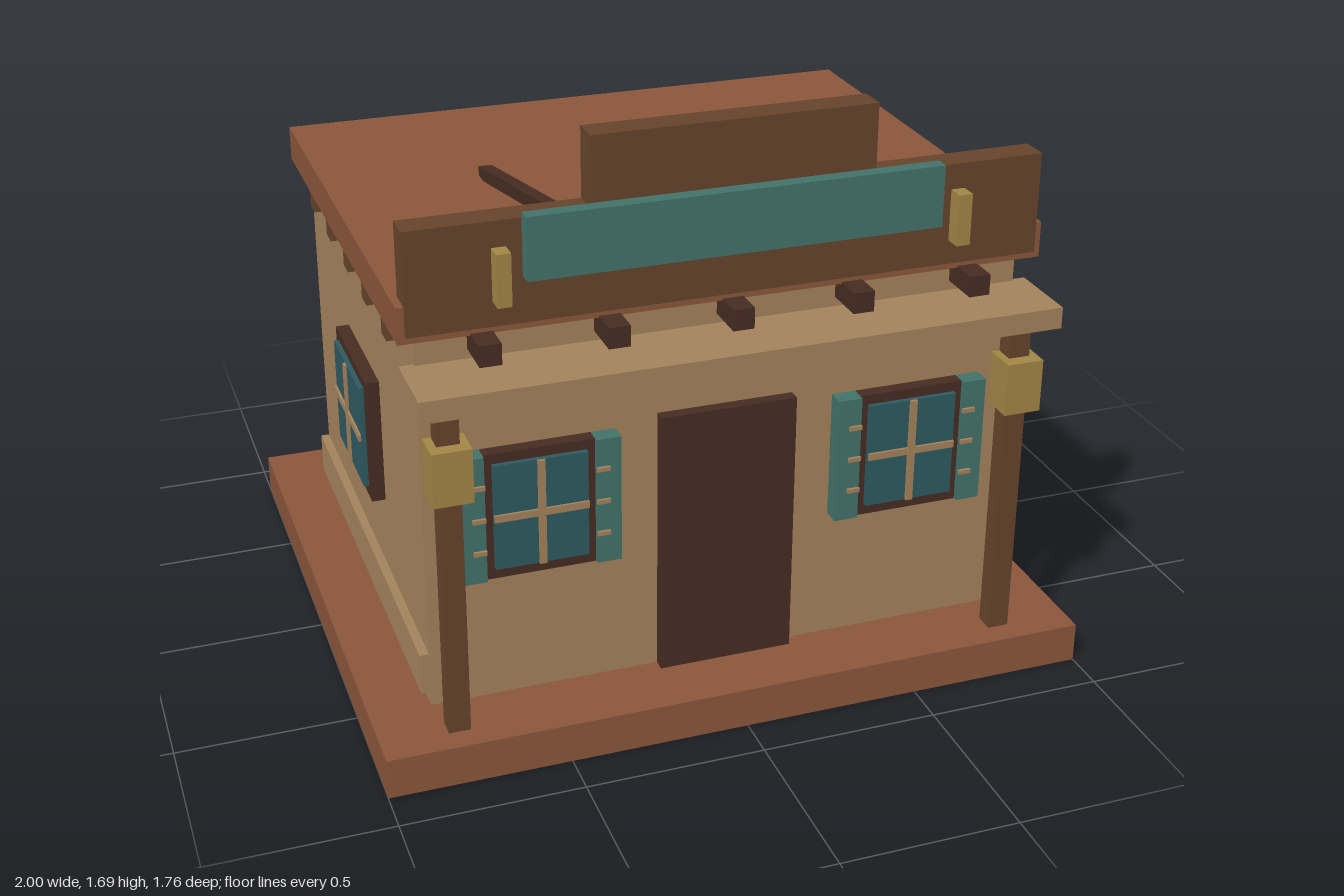
import * as THREE from 'three';

const mat = (name, color) => {
  const m = new THREE.MeshStandardMaterial({ color });
  m.name = name;
  return m;
};

export function createModel() {
  const terracotta = mat('terracotta', 0x8b563b);
  const adobe = mat('adobe tan', 0xa4835c);
  const brown = mat('timber brown', 0x66442b);
  const dark = mat('dark timber', 0x472c23);
  const teal = mat('teal paint', 0x42736a);
  const glass = mat('window glass', 0x2e5a61);
  const brass = mat('lantern brass', 0xa38645);
  const leaf = mat('leaf green', 0x4a7548);

  const model = new THREE.Group();
  model.name = 'adobeHouse';

  // Box given by its extents on each axis
  const box = (name, m, [x0, x1], [y0, y1], [z0, z1], parent = model) => {
    const mesh = new THREE.Mesh(new THREE.BoxGeometry(x1 - x0, y1 - y0, z1 - z0), m);
    mesh.position.set((x0 + x1) / 2, (y0 + y1) / 2, (z0 + z1) / 2);
    mesh.name = name;
    parent.add(mesh);
    return mesh;
  };
  const around = (c, w) => [c - w / 2, c + w / 2];

  // Main body
  box('base', terracotta, [-1, 1], [0, 0.115], [-0.88, 0.88]);
  box('walls', adobe, [-0.83, 0.83], [0.115, 1.2], [-0.67, 0.67]);
  box('roof', terracotta, [-0.88, 0.88], [1.2, 1.3], [-0.71, 0.71]);

  // False front with sign board and small lamps
  box('falseFront', brown, [-0.86, 0.86], [1.22, 1.5], [0.64, 0.72]);
  box('falseFrontTop', brown, [-0.383, 0.383], [1.5, 1.69], [0.64, 0.72]);
  box('signBoard', teal, [-0.56, 0.56], [1.345, 1.515], [0.72, 0.76]);

  // Porch canopy and doors
  box('porchCanopy', adobe, [-0.87, 0.87], [1.06, 1.12], [0.66, 0.875]);
  box('frontDoor', dark, [-0.19, 0.19], [0.115, 0.885], [0.67, 0.705]);
  box('backDoor', dark, [-0.19, 0.19], [0.115, 0.885], [-0.7, -0.67]);
  box('backCanopy', adobe, [-0.258, 0.258], [0.978, 1.032], [-0.875, -0.665]);

  // Beam ends under the false front
  for (let i = -2; i <= 2; i++) {
    box('frontBeamEnd', dark, around(i * 0.333, 0.058), [1.147, 1.205], [0.67, 0.79]);
  }

  // Window facing +z, with its back on the local z = 0 plane
  const makeWindow = (width, shutters) => {
    const g = new THREE.Group();
    g.name = 'window';
    const pane = width - 0.065 + (shutters ? 0.02 : 0);
    box('windowFrame', dark, around(0, width), [0.495, 0.86], [0, 0.038], g);
    box('windowPane', glass, around(0, pane), [0.528, 0.832], [0.038, 0.052], g);
    box('windowBarUpright', adobe, around(0, 0.02), [0.528, 0.832], [0.05, 0.06], g);
    box('windowBarLevel', adobe, around(0, pane), [0.67, 0.69], [0.05, 0.059], g);
    if (shutters) {
      for (const s of [-1, 1]) {
        box('shutter', teal, around(s * (width / 2 + 0.034), 0.068), [0.495, 0.86], [0, 0.05], g);
        for (const y of [0.585, 0.68, 0.775]) {
          box('shutterSlat', adobe, around(s * (width / 2 + 0.018), 0.036), around(y, 0.012), [0.05, 0.058], g);
        }
      }
    }
    model.add(g);
    return g;
  };

  for (const s of [-1, 1]) {
    // Porch posts, lanterns, lamps on the false front
    box('porchPost', brown, around(s * 0.787, 0.06), [0.115, 1.06], [0.757, 0.812]);
    box('lantern', brass, around(s * 0.787, 0.105), [0.81, 0.96], [0.755, 0.85]);
    box('signLamp', brass, around(s * 0.62, 0.038), [1.288, 1.43], [0.72, 0.768]);

    // Sloping braces behind the false front
    const slope = Math.atan2(0.147, 0.76);
    const brace = box('roofBrace', dark, around(s * 0.43, 0.038), around(1.383, 0.036), around(0.262, 0.78));
    brace.rotation.x = -slope;

    // Side wall band, beam ends and side window
    box('sideBand', adobe, around(s * 0.8425, 0.025), [0.155, 0.275], [-0.67, 0.67]);
    for (let i = -2; i <= 2; i++) {
      box('sideBeamEnd', brown, around(s * 0.845, 0.04), [1.12, 1.178], around(i * 0.238, 0.056));
    }
    const side = makeWindow(0.4, false);
    side.position.x = s * 0.83;
    side.rotation.y = s * Math.PI / 2;

    // Shuttered windows, front and back
    makeWindow(0.3, true).position.set(s * 0.525, 0, 0.67);
    const back = makeWindow(0.3, true);
    back.position.set(s * 0.525, 0, -0.67);
    back.rotation.y = Math.PI;

    // Back door posts and flower boxes
    box('backDoorPost', teal, around(s * 0.212, 0.042), [0.115, 0.978], [-0.737, -0.695]);
    box('flowerBox', brown, around(s * 0.525, 0.36), [0.425, 0.505], [-0.825, -0.695]);
    for (const dx of [-0.107, 0, 0.107]) {
      const bush = new THREE.Mesh(new THREE.IcosahedronGeometry(0.064, 0).rotateZ(-0.5536), leaf);
      bush.name = 'bush';
      bush.position.set(s * 0.525 + dx, 0.55, -0.768);
      model.add(bush);
    }
  }

  // Raised bricks on the back wall
  for (const [x, y] of [[0.57, 0.235], [0.57, 0.475], [-0.57, 0.235], [-0.57, 0.35]]) {
    box('wallBrick', adobe, around(x, 0.25), around(y, 0.03), [-0.698, -0.67]);
  }
  return model;
}
